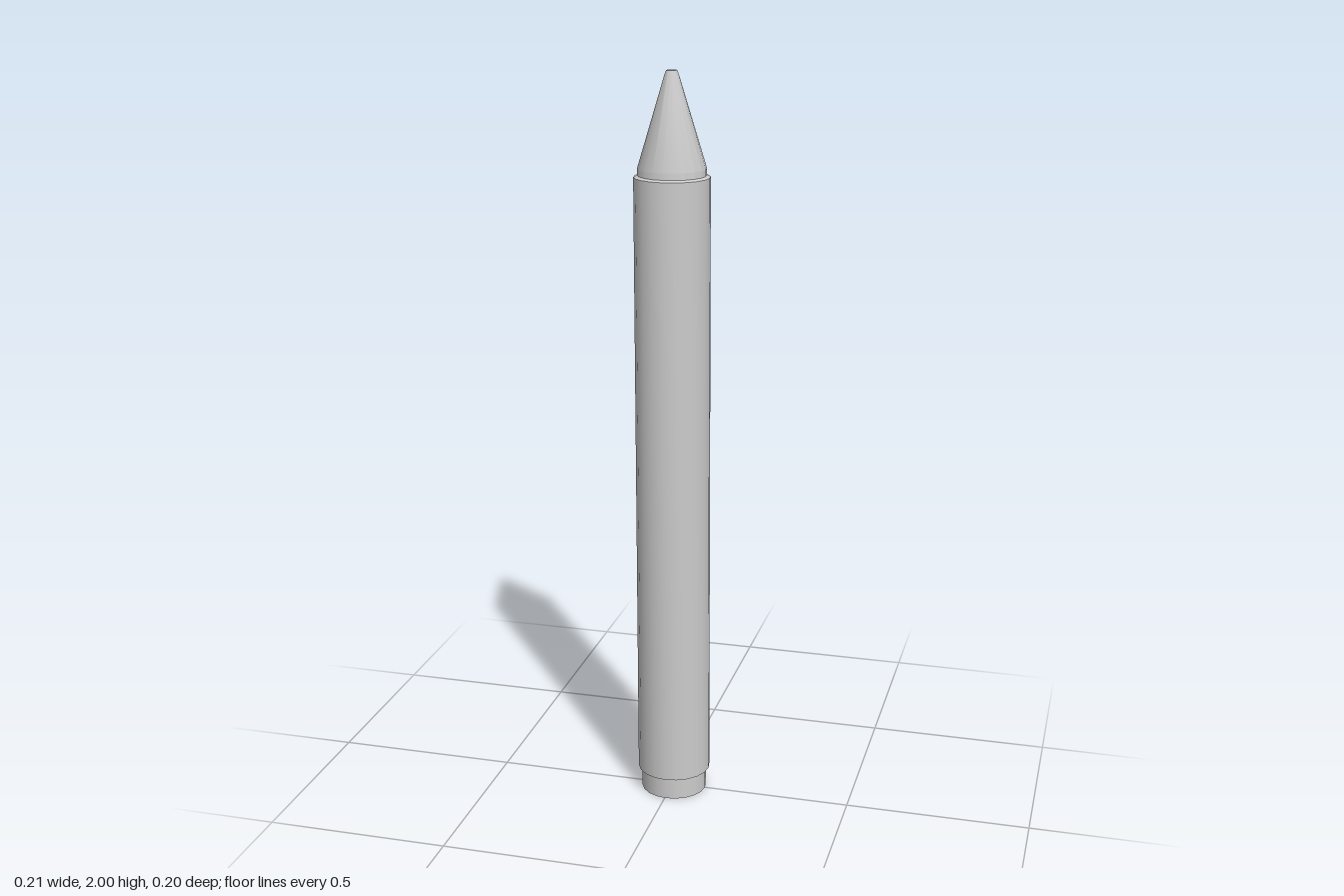
import * as THREE from 'three';
import { toCreasedNormals } from 'three/addons/utils/BufferGeometryUtils.js';

const SIDES = 20;

// Turned part with sharp rims; its axis leans very slightly toward -x at the top
function turned(name, profile, material) {
  const points = profile.map(([r, y]) => new THREE.Vector2(r, y));
  const geometry = new THREE.LatheGeometry(points, SIDES);
  const pos = geometry.attributes.position;
  for (let i = 0; i < pos.count; i++) {
    pos.setX(i, pos.getX(i) - (pos.getY(i) - 1) * 0.0035);
  }
  const mesh = new THREE.Mesh(toCreasedNormals(geometry, 0.4), material);
  mesh.name = name;
  return mesh;
}

export function createModel() {
  const group = new THREE.Group();
  group.name = 'crayon';
  const grey = new THREE.MeshStandardMaterial({ color: 0xcccccc });

  // Wax stick: flat foot, straight shaft, cone and small rounded tip
  group.add(turned('waxStick', [
    [0, 0], [0.09, 0], [0.09, 1.752], [0.019, 1.987], [0.014, 2], [0, 2],
  ], grey));

  // Paper wrapper: sleeve with a thin ledge at both ends
  group.add(turned('paperWrapper', [
    [0.089, 0.062], [0.1, 0.062], [0.1, 1.73], [0.089, 1.735],
  ], grey));

  return group;
}
